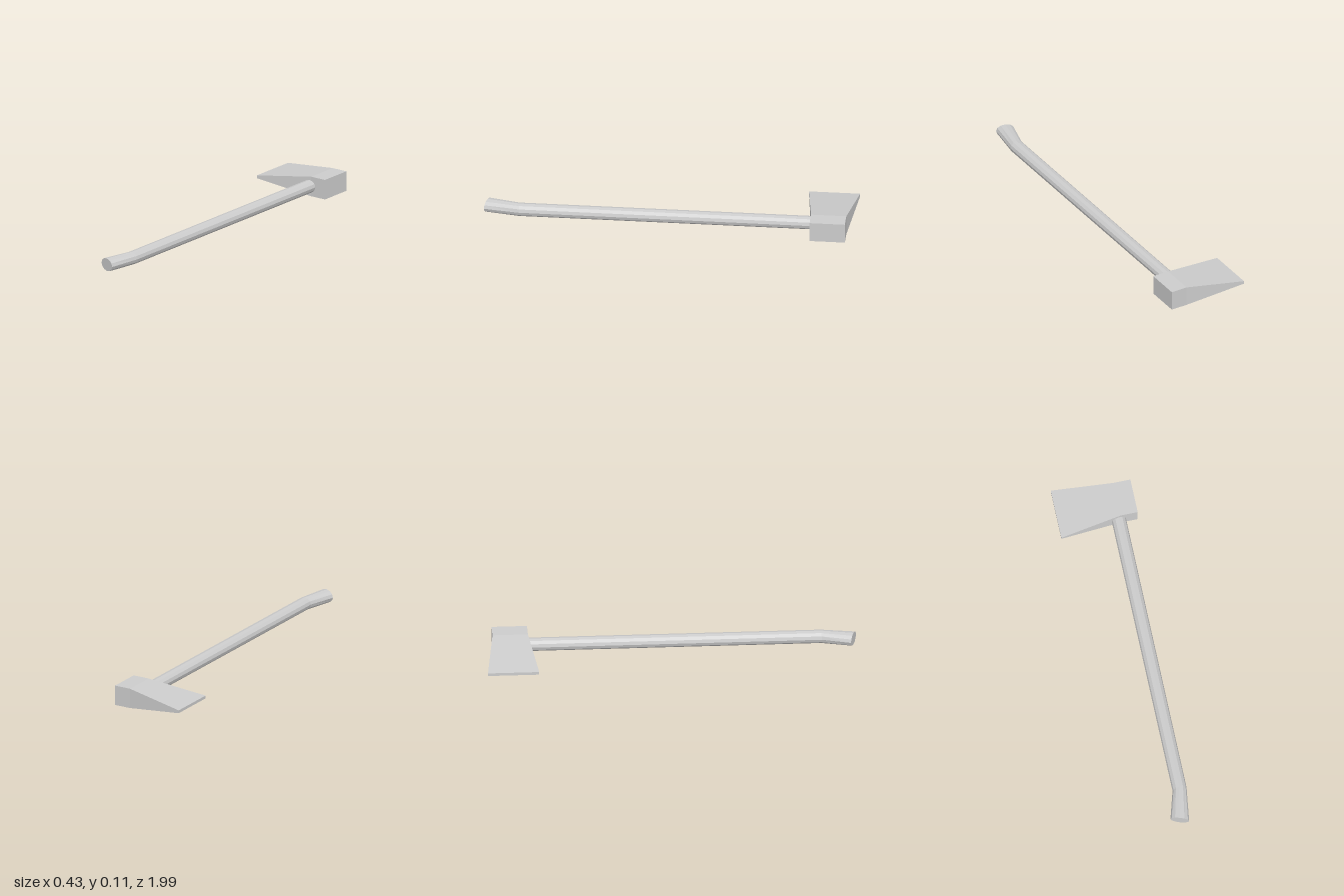
import * as THREE from 'three';

// Skin a closed solid through matching rings (each counter-clockwise about the travel direction)
function loft(rings) {
  const pos = [];
  const tri = (a, b, c) => pos.push(...a, ...b, ...c);
  const n = rings[0].length;
  for (let i = 0; i < rings.length - 1; i++) {
    const a = rings[i], b = rings[i + 1];
    for (let j = 0; j < n; j++) {
      const k = (j + 1) % n;
      tri(a[j], a[k], b[k]);
      tri(a[j], b[k], b[j]);
    }
  }
  const first = rings[0], last = rings[rings.length - 1];
  for (let j = 1; j < n - 1; j++) {
    tri(first[0], first[j + 1], first[j]);
    tri(last[0], last[j], last[j + 1]);
  }
  const geo = new THREE.BufferGeometry();
  geo.setAttribute('position', new THREE.Float32BufferAttribute(pos, 3));
  geo.computeVertexNormals();
  return geo;
}

export function createModel() {
  const group = new THREE.Group();
  const material = new THREE.MeshStandardMaterial({ color: 0xcccccc, flatShading: true });
  const midY = 0.055;

  const add = (name, rings) => {
    const mesh = new THREE.Mesh(loft(rings), material);
    mesh.name = name;
    group.add(mesh);
  };

  // Axe head: wide thin cutting edge, thick socket, square poll
  const headRing = (x, halfY, z0, z1) => [
    [x, midY - halfY, z0], [x, midY + halfY, z0],
    [x, midY + halfY, z1], [x, midY - halfY, z1],
  ];
  add('axeHead', [
    headRing(-0.214, 0.008, -1, -0.725),
    headRing(0.12, 0.055, -0.957, -0.767),
    headRing(0.213, 0.055, -0.957, -0.767),
  ]);

  // Handle: straight oval shaft with a kinked, slightly flared grip
  const handleRing = (cx, cz, rx, tilt) => Array.from({ length: 12 }, (_, i) => {
    const a = (i / 12) * Math.PI * 2;
    return [cx + rx * Math.cos(a), midY + 0.035 * Math.sin(a), cz + tilt * Math.cos(a)];
  });
  add('handle', [
    handleRing(0.109, -0.8, 0.039, 0),
    handleRing(0.109, 0.805, 0.039, -0.003),
    handleRing(0.074, 0.978, 0.048, 0.016),
  ]);

  return group;
}
